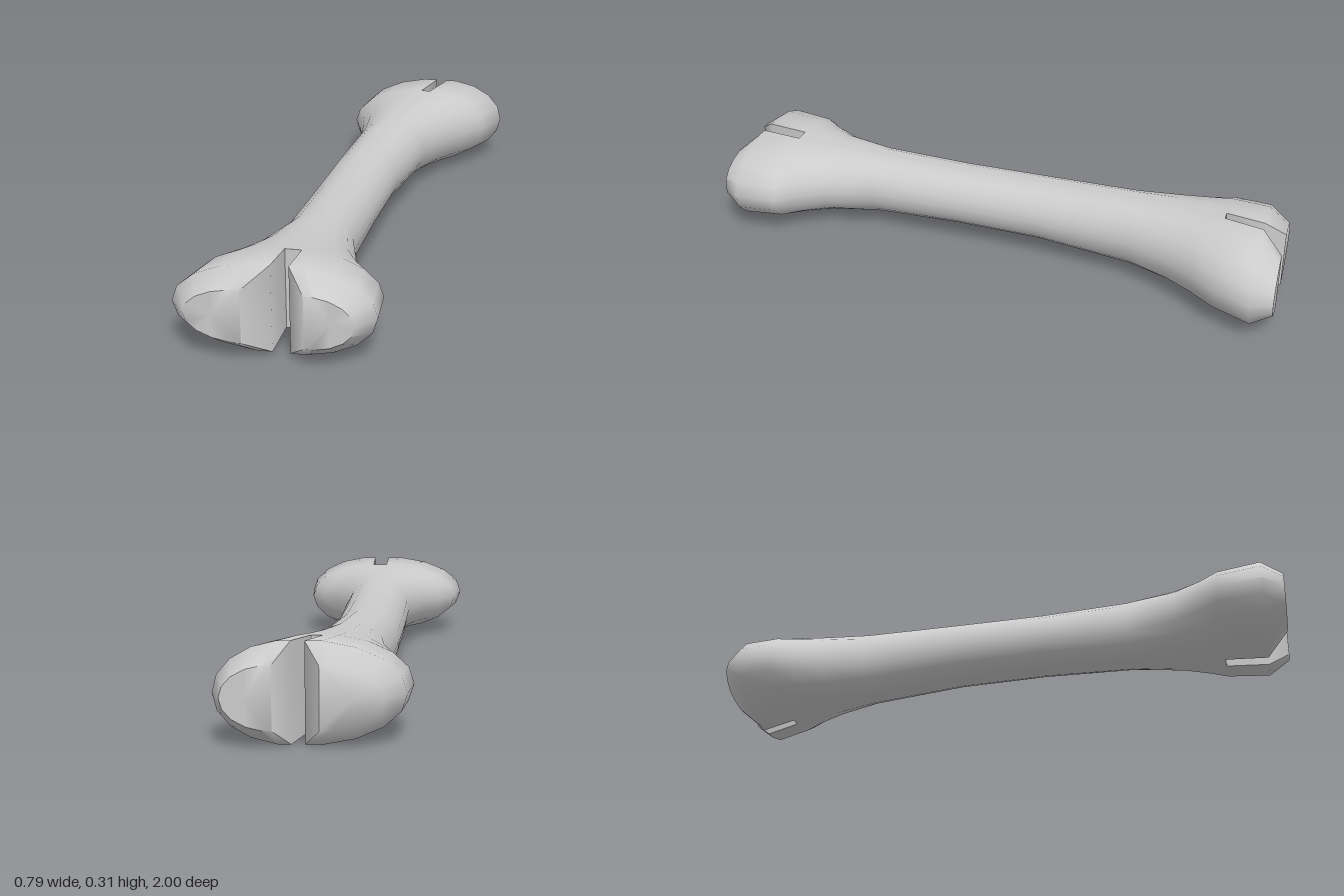
import * as THREE from 'three';
import { toCreasedNormals } from 'three/addons/utils/BufferGeometryUtils.js';

const MID_Y = 0.153;
const DEG = Math.PI / 180;

// Half-oval cross-section: a flat wall at x = wall, bulging out to x = outer.
// Points run counter-clockwise as seen from +z.
function halfRing(z, wall, outer, h) {
  const side = Math.sign(outer - wall);
  const pts = [[wall, MID_Y - side * h, z]];
  for (let a = -80; a <= 80; a += 20) {
    const y = side * h * Math.sin(a * DEG) / Math.sin(80 * DEG);
    pts.push([wall + (outer - wall) * Math.cos(a * DEG), MID_Y + y, z]);
  }
  pts.push([wall, MID_Y + side * h, z]);
  return pts;
}

// Section: [z, outer -x, inner -x, inner +x, outer +x, half height]
const rightHalf = ([z, , , wall, outer, h]) => halfRing(z, wall, outer, h);
const leftHalf = ([z, outer, wall, , , h]) => halfRing(z, wall, outer, h);
const fullRing = (s) => [...rightHalf(s), ...leftHalf(s)];

export function createModel() {
  const verts = [];
  const tri = (a, b, c) => verts.push(...a, ...b, ...c);

  // Skin a row of rings given in order of increasing z.
  function loft(rings) {
    for (let i = 0; i < rings.length - 1; i++) {
      const p = rings[i], q = rings[i + 1], n = p.length;
      for (let j = 0; j < n; j++) {
        const k = (j + 1) % n;
        tri(p[j], p[k], q[k]);
        tri(p[j], q[k], q[j]);
      }
    }
  }

  // Close a ring with a fan facing +z (dir 1) or -z (dir -1).
  function cap(ring, dir) {
    const mid = [0, 1, 2].map((c) => ring.reduce((s, p) => s + p[c], 0) / ring.length);
    ring.forEach((p, j) => {
      const q = ring[(j + 1) % ring.length];
      if (dir > 0) tri(mid, p, q);
      else tri(mid, q, p);
    });
  }

  const back = [
    [-1.00, -0.105, 0.080, 0.215, 0.365, 0.095],
    [-0.93, -0.170, 0.125, 0.165, 0.393, 0.153],
    [-0.80, -0.190, 0.080, 0.115, 0.335, 0.144],
  ];
  const front = [
    [0.79, -0.370, -0.087, -0.035, 0.215, 0.132],
    [0.93, -0.400, -0.095, -0.040, 0.223, 0.142],
    [1.00, -0.345, -0.170, 0.018, 0.168, 0.085],
  ];
  const shaft = [
    back[2],
    [-0.72, -0.160, 0.050, 0.080, 0.270, 0.137],
    [-0.63, -0.135, 0.025, 0.050, 0.210, 0.130],
    [-0.48, -0.115, 0.000, 0.020, 0.140, 0.120],
    [-0.15, -0.145, -0.040, -0.020, 0.090, 0.104],
    [0.16, -0.165, -0.055, -0.035, 0.073, 0.100],
    [0.47, -0.180, -0.070, -0.050, 0.062, 0.110],
    [0.64, -0.245, -0.078, -0.050, 0.110, 0.119],
    [0.73, -0.310, -0.082, -0.040, 0.165, 0.126],
    front[0],
  ];

  // Shaft flaring toward both ends
  loft(shaft.map(fullRing));

  // Two rounded knuckles at each end
  for (const half of [leftHalf, rightHalf]) {
    loft(back.map(half));
    cap(half(back[0]), -1);
    loft(front.map(half));
    cap(half(front[2]), 1);
  }

  // Floors of the slots between the knuckles
  for (const [s, dir] of [[back[2], -1], [front[0], 1]]) {
    const [z, , l, r, , h] = s;
    cap([[l, MID_Y - h, z], [r, MID_Y - h, z], [r, MID_Y + h, z], [l, MID_Y + h, z]], dir);
  }

  const geometry = new THREE.BufferGeometry();
  geometry.setAttribute('position', new THREE.Float32BufferAttribute(verts, 3));
  const bone = new THREE.Mesh(
    toCreasedNormals(geometry, 55 * DEG),
    new THREE.MeshStandardMaterial({ color: 0xcccccc })
  );
  bone.name = 'bone';

  const group = new THREE.Group();
  group.name = 'boneModel';
  group.add(bone);
  return group;
}
